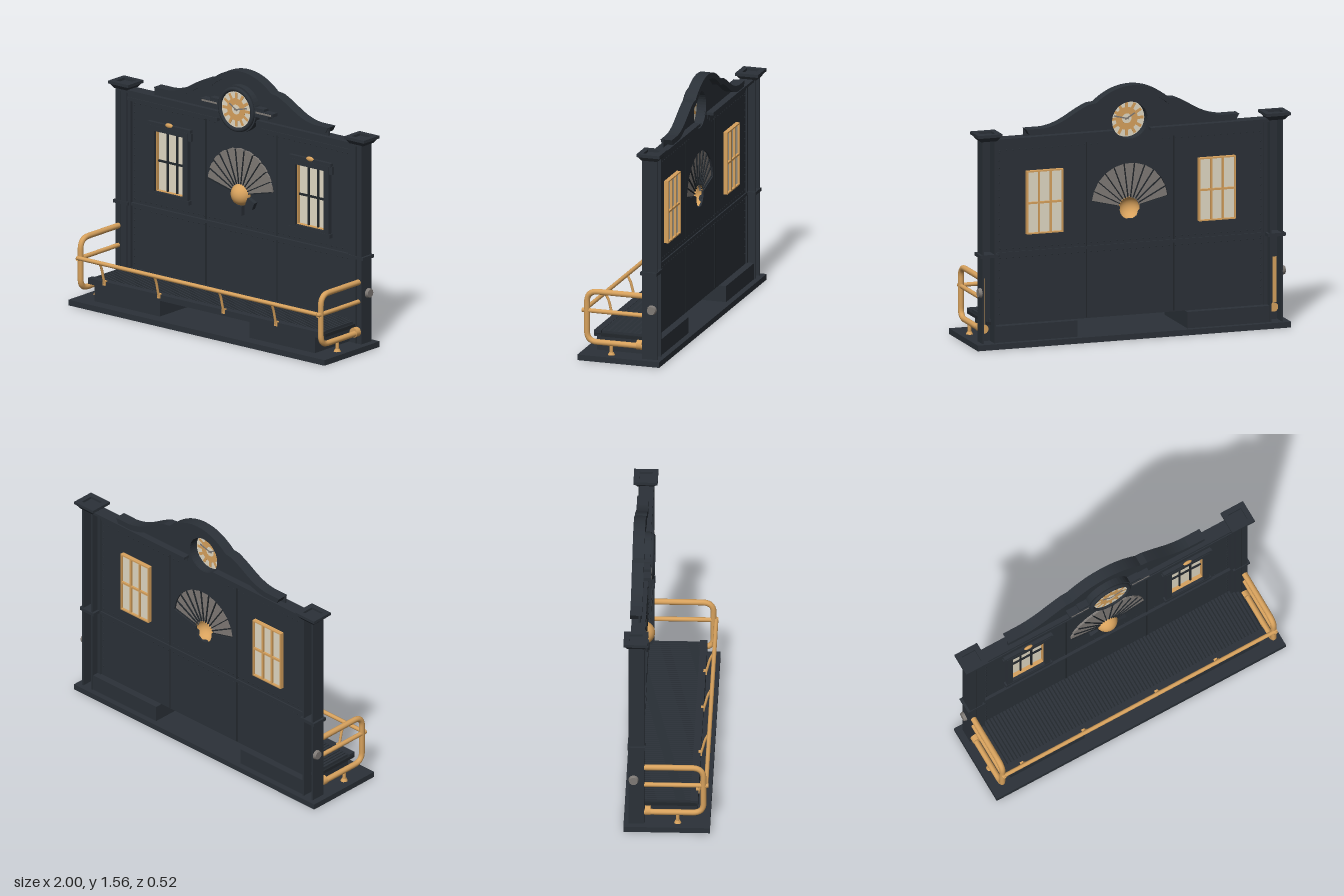
import * as THREE from 'three';
import { mergeGeometries } from 'three/addons/utils/BufferGeometryUtils.js';

const mat = (name, color, side = THREE.FrontSide) => {
  const m = new THREE.MeshStandardMaterial({ color, side });
  m.name = name;
  return m;
};
const V = (x, y, z) => new THREE.Vector3(x, y, z);

export function createModel() {
  const iron = mat('dark iron', 0x2b3138);
  const shade = mat('shadow iron', 0x22272c);
  const brass = mat('brass', 0xd8a25d, THREE.DoubleSide);
  const cream = mat('cream glass', 0xe2dac5);
  const pewter = mat('pewter', 0x7f7a76);
  const root = new THREE.Group();

  const add = (parent, name, geo, m, x = 0, y = 0, z = 0) => {
    const mesh = new THREE.Mesh(geo, m);
    mesh.name = name;
    mesh.position.set(x, y, z);
    parent.add(mesh);
    return mesh;
  };
  const boxGeo = (x0, x1, y0, y1, z0, z1) =>
    new THREE.BoxGeometry(x1 - x0, y1 - y0, z1 - z0).translate((x0 + x1) / 2, (y0 + y1) / 2, (z0 + z1) / 2);
  const bar = (parent, name, m, ...b) => add(parent, name, boxGeo(...b), m);
  const extrude = (shape, z0, z1) =>
    new THREE.ExtrudeGeometry(shape, { depth: z1 - z0, bevelEnabled: false, curveSegments: 20 }).translate(0, 0, z0);
  const rect = (x0, x1, y0, y1, T = THREE.Shape) =>
    new T().moveTo(x0, y0).lineTo(x1, y0).lineTo(x1, y1).lineTo(x0, y1).closePath();
  const group = (name, x, y, z) => {
    const g = new THREE.Group();
    g.name = name;
    g.position.set(x, y, z);
    root.add(g);
    return g;
  };

  // Curved top edge, right to left
  const half = new THREE.Path();
  half.moveTo(0.68, 1.335).lineTo(0.57, 1.335);
  half.bezierCurveTo(0.44, 1.35, 0.4, 1.41, 0.28, 1.46);
  half.lineTo(0.235, 1.465);
  half.bezierCurveTo(0.16, 1.53, 0.08, 1.56, 0, 1.56);
  const right = half.getPoints(14);
  const top = [...right, ...right.slice(0, -1).reverse().map(p => new THREE.Vector2(-p.x, p.y))];

  // Fan proportions
  const n = 11, a0 = 0.24, step = (Math.PI - 2 * a0) / n, ballY = 0.79;
  const reach = a => 0.245 + 0.04 * Math.sin(a);

  // Base and thin wall sheet, open behind windows, fan and clock
  bar(root, 'base', iron, -1, 1, 0, 0.035, -0.26, 0.26);
  const P = list => list.map(p => new THREE.Vector2(...p));
  const wall = new THREE.Shape([
    ...P([[-0.35, 0.035], [-0.35, 0.135], [0.35, 0.135], [0.35, 0.035], [0.87, 0.035], [0.87, 1.28], [0.68, 1.28]]),
    ...top, ...P([[-0.68, 1.28], [-0.87, 1.28], [-0.87, 0.035]])]);
  for (const s of [-0.55, 0.55]) wall.holes.push(rect(s - 0.115, s + 0.115, 0.685, 1.07, THREE.Path));
  wall.holes.push(new THREE.Path().absarc(0, 1.333, 0.114, 0, Math.PI * 2));
  const fanHole = [];
  for (let i = 0; i <= n; i++) {
    const a = a0 + i * step, r = reach(a) - 0.004;
    fanHole.push([r * Math.cos(a), ballY + r * Math.sin(a)]);
  }
  for (let i = 0; i <= 10; i++) {
    const a = Math.PI - a0 + i * (Math.PI + 2 * a0) / 10;
    fanHole.push([0.066 * Math.cos(a), ballY + 0.066 * Math.sin(a)]);
  }
  wall.holes.push(new THREE.Path(P(fanHole)));
  add(root, 'wall', extrude(wall, -0.178, -0.166), iron);
  const under = top.map(p => new THREE.Vector2(p.x * 0.97, p.y - 0.035)).reverse();
  add(root, 'pedimentMoulding', extrude(new THREE.Shape([...top, ...under]), -0.231, -0.16), iron);

  for (const s of [-1, 1]) {
    const span = (a, b) => (s > 0 ? [a, b] : [-b, -a]);
    bar(root, 'topBeam', iron, ...span(0.12, 0.88), 1.268, 1.285, -0.222, -0.137);
    bar(root, 'beamFrieze', iron, ...span(0.13, 0.88), 1.24, 1.268, -0.18, -0.147);
    bar(root, 'lowerBeam', iron, ...span(0.17, 0.88), 1.22, 1.24, -0.18, -0.14);
    bar(root, 'plinth', iron, ...span(0.35, 0.88), 0.035, 0.135, -0.224, -0.15);

    // Pillars are channels open at the back, under stepped capitals
    bar(root, 'pillarFront', iron, ...span(0.875, 0.96), 0.035, 1.285, -0.15, -0.136);
    bar(root, 'pillarOuterSide', iron, ...span(0.95, 0.96), 0.035, 1.285, -0.231, -0.15);
    bar(root, 'pillarInnerSide', iron, ...span(0.875, 0.885), 0.035, 1.285, -0.231, -0.15);
    bar(root, 'pillarInnerStrip', iron, ...span(0.85, 0.875), 0.035, 1.26, -0.185, -0.145);
    bar(root, 'pillarGroove', shade, ...span(0.916, 0.92), 0.035, 1.27, -0.137, -0.1345);
    bar(root, 'pillarBand', iron, ...span(0.86, 0.975), 0.562, 0.582, -0.236, -0.131);
    const cap = new THREE.CylinderGeometry(0.072 * Math.SQRT2, 0.05 * Math.SQRT2, 0.03, 4).rotateY(Math.PI / 4).toNonIndexed();
    cap.computeVertexNormals();
    add(root, 'capitalTaper', cap, iron, s * 0.92, 1.295, -0.187);
    const rim = rect(-0.078, 0.078, -0.073, 0.073);
    rim.holes.push(rect(-0.045, 0.045, -0.04, 0.04, THREE.Path));
    add(root, 'capitalRim', extrude(rim, 0, 0.018).rotateX(-Math.PI / 2), iron, s * 0.92, 1.307, -0.187);
    const knob = new THREE.CylinderGeometry(0.026, 0.032, 0.022, 12).rotateZ(-s * Math.PI / 2);
    add(root, 'sideBolt', knob, pewter, s * 0.968, 0.345, -0.2);

    // Rail fixings inside the channel
    bar(root, 'railPlate', brass, ...span(0.922, 0.945), 0.14, 0.42, -0.156, -0.149);
    add(root, 'railNut', new THREE.CylinderGeometry(0.028, 0.028, 0.014, 12).rotateX(Math.PI / 2), brass, s * 0.925, 0.11, -0.156);
  }

  // Windows: surround, brass lining, glass and glazing bars
  for (const cx of [-0.55, 0.55]) {
    const win = group('window', cx, 0, 0);
    const outer = rect(-0.15, 0.15, 0.655, 1.1);
    outer.holes.push(rect(-0.112, 0.112, 0.688, 1.067, THREE.Path));
    add(win, 'windowFrame', extrude(outer, -0.167, -0.14), iron);
    bar(win, 'windowHead', iron, -0.165, 0.165, 1.095, 1.12, -0.167, -0.143);
    bar(win, 'windowSill', iron, -0.16, 0.16, 0.65, 0.675, -0.167, -0.137);
    for (const s of [-1, 1]) bar(win, 'windowEar', iron, s * 0.16 - 0.012, s * 0.16 + 0.012, 1.05, 1.1, -0.167, -0.145);
    add(win, 'windowKeystone', new THREE.SphereGeometry(0.03, 14, 8).scale(1, 0.5, 0.35), brass, 0, 1.119, -0.147);
    const lining = rect(-0.117, 0.117, 0.683, 1.072);
    lining.holes.push(rect(-0.109, 0.109, 0.691, 1.064, THREE.Path));
    add(win, 'windowLining', extrude(lining, -0.205, -0.16), brass);
    bar(win, 'glass', cream, -0.11, 0.11, 0.69, 1.065, -0.19, -0.184);
    for (const [m, z0, z1] of [[shade, -0.184, -0.174], [brass, -0.203, -0.19]]) {
      for (const x of [-0.037, 0.037]) bar(win, 'uprightGlazingBar', m, x - 0.005, x + 0.005, 0.69, 1.065, z0, z1);
      bar(win, 'crossGlazingBar', m, -0.11, 0.11, 0.868, 0.88, z0, z1);
    }
  }

  // Panel seams, middle rail and rivets, showing on both faces
  for (const x of [-0.278, 0.278]) bar(root, 'panelSeam', shade, x - 0.004, x + 0.004, 0.14, 1.22, -0.181, -0.163);
  bar(root, 'middleRail', iron, -0.87, 0.87, 0.562, 0.58, -0.186, -0.148);
  const rivets = [];
  const rivet = (x, y) => rivets.push(new THREE.SphereGeometry(0.006, 6, 4).scale(1, 1, 1.8).translate(x, y, -0.172));
  for (let i = 0; i <= 40; i++) {
    const x = -0.83 + i * 0.0415;
    rivet(x, 0.6);
    rivet(x, 0.545);
    if (Math.abs(x) > 0.17) rivet(x, 1.205);
  }
  for (let y = 0.2; y < 1.2; y += 0.045) for (const x of [-0.835, 0.835]) rivet(x, y);
  add(root, 'rivets', mergeGeometries(rivets), iron);

  // Pleated fan around the hollow brass ball
  const fan = group('fan', 0, ballY, -0.165);
  for (let i = 0; i <= n; i++) {
    const a = a0 + i * step;
    add(fan, 'fanRib', boxGeo(0.068, reach(a), -0.003, 0.003, -0.006, 0.02), shade).rotation.z = a;
    if (i === n) break;
    const r = reach(a + step / 2), w = step / 2;
    const blade = new THREE.Shape(P([
      [0.066 * Math.cos(w), -0.066 * Math.sin(w)], [r * Math.cos(w), -r * Math.sin(w)], [r * 1.015, 0],
      [r * Math.cos(w), r * Math.sin(w)], [0.066 * Math.cos(w), 0.066 * Math.sin(w)]]));
    add(fan, 'fanBlade', extrude(blade, 0.002, 0.014), pewter).rotation.z = a + w;
  }
  for (const a of [-2.72, -Math.PI / 2, -0.42]) {
    add(fan, 'ballClaw', boxGeo(0.066, 0.125, -0.024, 0.024, 0, 0.028), iron).rotation.z = a;
  }
  const ball = new THREE.SphereGeometry(0.07, 28, 12, 0, Math.PI * 2, 0, Math.PI / 2).rotateX(Math.PI / 2);
  add(fan, 'brassBall', ball, brass, 0, 0, -0.007);

  // Clock: open drum with a thin dial readable from both sides
  const clock = group('clock', 0, 1.333, -0.117);
  const drum = new THREE.Shape().absarc(0, 0, 0.147, 0, Math.PI * 2);
  drum.holes.push(new THREE.Path().absarc(0, 0, 0.113, 0, Math.PI * 2));
  add(clock, 'clockDrum', extrude(drum, -0.055, -0.007), iron);
  add(clock, 'clockRim', new THREE.TorusGeometry(0.126, 0.014, 10, 40), iron);
  const disc = (name, r, d, m) => add(clock, name, new THREE.CylinderGeometry(r, r, d, 40).rotateX(Math.PI / 2), m);
  disc('clockDial', 0.116, 0.004, cream);
  disc('dialRing', 0.07, 0.007, brass);
  disc('dialBoss', 0.03, 0.01, cream);
  for (let i = 0; i < 12; i++) {
    add(clock, 'hourMark', boxGeo(0.065, 0.106, -0.009, 0.009, -0.0035, 0.0035), brass).rotation.z = i * Math.PI / 6;
  }
  for (const [len, a] of [[0.06, 2.6], [0.085, 0.25]]) {
    add(clock, 'clockHand', boxGeo(-0.012, len, -0.004, 0.004, -0.007, 0.007), pewter).rotation.z = a;
  }
  for (const s of [-1, 1]) {
    const span = (a, b) => (s > 0 ? [a, b] : [-b, -a]);
    bar(clock, 'clockWing', iron, ...span(0.138, 0.28), 0, 0.02, -0.05, 0);
    bar(clock, 'clockWingLower', iron, ...span(0.13, 0.24), -0.022, 0, -0.05, -0.006);
    bar(clock, 'clockWingUpper', iron, ...span(0.13, 0.21), 0.02, 0.036, -0.05, -0.006);
    bar(clock, 'clockWingFace', pewter, ...span(0.15, 0.27), 0.004, 0.015, -0.001, 0.002);
  }

  // Bench: two boxes, tray and slats
  for (const s of [-1, 1]) bar(root, 'benchSupport', iron, s > 0 ? 0.35 : -0.86, s > 0 ? 0.86 : -0.35, 0.035, 0.135, -0.168, 0.182);
  bar(root, 'benchTray', shade, -0.91, 0.91, 0.135, 0.155, -0.168, 0.182);
  bar(root, 'benchFrontEdge', iron, -0.91, 0.91, 0.135, 0.172, 0.14, 0.185);
  const slats = [];
  for (let i = 0; i < 80; i++) {
    const x = -0.9 + (i + 0.5) * 1.8 / 80;
    slats.push(boxGeo(x - 0.0075, x + 0.0075, 0.154, 0.17, -0.168, 0.14));
  }
  add(root, 'benchSlats', mergeGeometries(slats), iron);

  // Brass rails
  const tube = (name, path, r, seg = 1) => add(root, name, new THREE.TubeGeometry(path, seg, r, 10), brass);
  for (const s of [-1, 1]) {
    const x = s * 0.938, loop = new THREE.CurvePath();
    const line = (a, b) => loop.add(new THREE.LineCurve3(a, b));
    const bend = (a, b, c) => loop.add(new THREE.QuadraticBezierCurve3(a, b, c));
    line(V(x, 0.422, -0.14), V(x, 0.422, 0.15));
    bend(V(x, 0.422, 0.15), V(x, 0.422, 0.22), V(x, 0.352, 0.22));
    line(V(x, 0.352, 0.22), V(x, 0.17, 0.22));
    bend(V(x, 0.17, 0.22), V(x, 0.107, 0.22), V(x, 0.107, 0.155));
    line(V(x, 0.107, 0.155), V(x, 0.107, -0.14));
    tube('sideRail', loop, 0.018, 70);
    tube('sideMiddleRail', new THREE.LineCurve3(V(x, 0.3, -0.14), V(x, 0.3, 0.25)), 0.014);
    tube('railFoot', new THREE.LineCurve3(V(x, 0.035, 0.065), V(x, 0.1, 0.065)), 0.011);
    add(root, 'railFootFlange', new THREE.CylinderGeometry(0.014, 0.022, 0.016, 12), brass, x, 0.043, 0.065);
    add(root, 'railFlange', new THREE.CylinderGeometry(0.03, 0.03, 0.035, 14).rotateX(Math.PI / 2), brass, s * 0.93, 0.112, -0.115);
  }
  tube('frontRail', new THREE.LineCurve3(V(-0.95, 0.302, 0.236), V(0.95, 0.302, 0.236)), 0.013);
  for (const x of [-0.78, -0.355, 0.15, 0.56]) {
    const path = new THREE.CatmullRomCurve3([V(x, 0.3, 0.232), V(x, 0.26, 0.212), V(x, 0.2, 0.196), V(x, 0.16, 0.185)]);
    tube('railBracket', path, 0.008, 10);
    bar(root, 'bracketFoot', brass, x - 0.011, x + 0.011, 0.15, 0.178, 0.17, 0.192);
  }
  return root;
}
